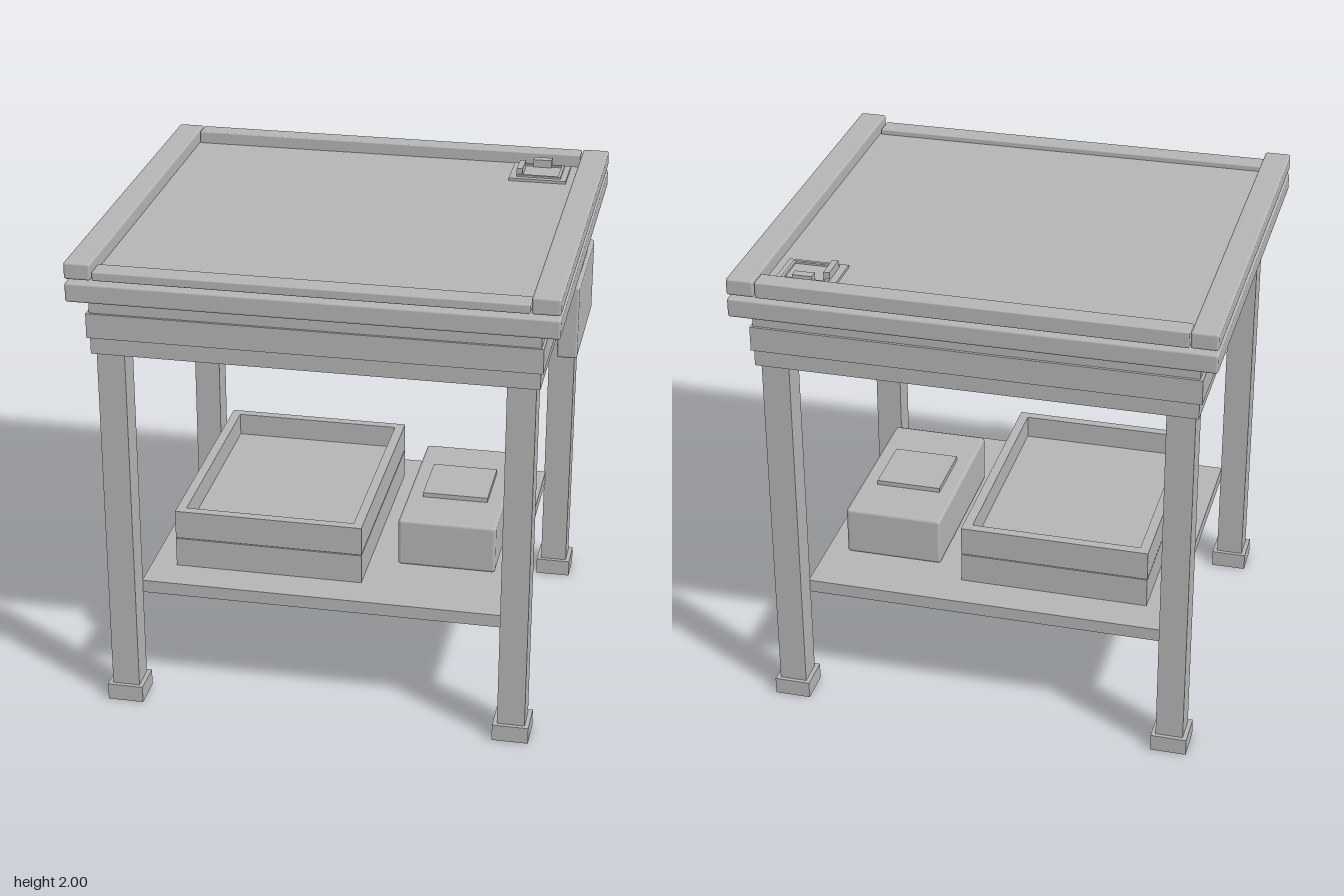
import * as THREE from 'three';
import { RoundedBoxGeometry } from 'three/addons/geometries/RoundedBoxGeometry.js';

export function createModel() {
  const table = new THREE.Group();
  table.name = 'gameTable';
  const grey = new THREE.MeshStandardMaterial({ color: 0xb4b4b4 });
  grey.name = 'plain grey';

  // Box from its minimum and maximum extents; a radius softens the edges
  function block(name, [x0, x1], [y0, y1], [z0, z1], radius = 0, parent = table) {
    const size = [x1 - x0, y1 - y0, z1 - z0];
    const geometry = radius
      ? new RoundedBoxGeometry(...size, 2, radius)
      : new THREE.BoxGeometry(...size);
    const mesh = new THREE.Mesh(geometry, grey);
    mesh.name = name;
    mesh.position.set((x0 + x1) / 2, (y0 + y1) / 2, (z0 + z1) / 2);
    parent.add(mesh);
    return mesh;
  }

  // Flat rectangular frame lying in the xz plane, extruded upwards
  function frame(name, [x0, x1], [y0, y1], [z0, z1], wall, parent = table) {
    const rect = (P, m) => {
      const p = new P();
      p.moveTo(x0 + m, -z1 + m);
      p.lineTo(x1 - m, -z1 + m);
      p.lineTo(x1 - m, -z0 - m);
      p.lineTo(x0 + m, -z0 - m);
      p.closePath();
      return p;
    };
    const shape = rect(THREE.Shape, 0);
    shape.holes.push(rect(THREE.Path, wall));
    const geometry = new THREE.ExtrudeGeometry(shape, { depth: y1 - y0, bevelEnabled: false });
    geometry.rotateX(-Math.PI / 2);
    const mesh = new THREE.Mesh(geometry, grey);
    mesh.name = name;
    mesh.position.y = y0;
    parent.add(mesh);
    return mesh;
  }

  // Four legs with square feet
  for (const x of [-0.822, 0.813]) {
    for (const z of [-0.721, 0.728]) {
      block('leg', [x - 0.057, x + 0.057], [0.07, 1.6], [z - 0.057, z + 0.057]);
      block('foot', [x - 0.075, x + 0.075], [0, 0.072], [z - 0.074, z + 0.074]);
    }
  }

  // Lower shelf, apron and the band around it
  block('shelf', [-0.767, 0.76], [0.46, 0.515], [-0.67, 0.673]);
  block('apron', [-0.895, 0.887], [1.597, 1.835], [-0.805, 0.81]);
  block('apronBand', [-0.907, 0.897], [1.667, 1.77], [-0.816, 0.82]);

  // Table top with raised rails; the front rail is lower than the back one
  block('tabletop', [-0.97, 0.962], [1.835, 1.915], [-0.873, 0.873], 0.01);
  block('playingSurface', [-0.86, 0.85], [1.91, 1.945], [-0.795, 0.785]);
  block('rightRail', [-0.97, -0.862], [1.93, 2], [-0.873, 0.873], 0.01);
  block('leftRail', [0.85, 0.962], [1.93, 2], [-0.873, 0.873], 0.01);
  block('backRail', [-0.858, 0.845], [1.93, 1.997], [-0.873, -0.79], 0.006);
  block('frontRail', [-0.858, 0.845], [1.93, 1.968], [0.78, 0.87], 0.006);

  // Small holder in the back corner of the surface
  const holder = new THREE.Group();
  holder.name = 'cornerHolder';
  table.add(holder);
  block('holderPlate', [0.565, 0.81], [1.94, 1.957], [-0.76, -0.555], 0, holder);
  frame('holderFrame', [0.595, 0.785], [1.957, 1.965], [-0.74, -0.58], 0.012, holder);
  block('holderBackTab', [0.65, 0.73], [1.957, 1.99], [-0.755, -0.718], 0, holder);
  block('holderSideTab', [0.595, 0.62], [1.957, 1.99], [-0.705, -0.59], 0, holder);

  // Hanging box on the left side with two hangers
  block('hangingBox', [0.888, 0.97], [1.503, 1.812], [-0.275, 0.277], 0.01);
  block('hanger', [0.905, 0.955], [1.8, 1.84], [-0.02, 0.097]);
  block('hanger', [0.905, 0.955], [1.8, 1.84], [-0.135, -0.047]);

  // Stacked trays, the upper one open
  block('lowerTray', [-0.66, 0.135], [0.515, 0.642], [-0.51, 0.515]);
  block('trayFloor', [-0.63, 0.105], [0.64, 0.672], [-0.48, 0.485]);
  frame('upperTrayWalls', [-0.66, 0.135], [0.646, 0.77], [-0.51, 0.515], 0.04);

  // Closed box with a lid plate
  block('storageBox', [0.255, 0.67], [0.515, 0.727], [-0.415, 0.327], 0.015);
  block('lidPlate', [0.322, 0.6], [0.72, 0.747], [-0.185, 0.097]);

  return table;
}
